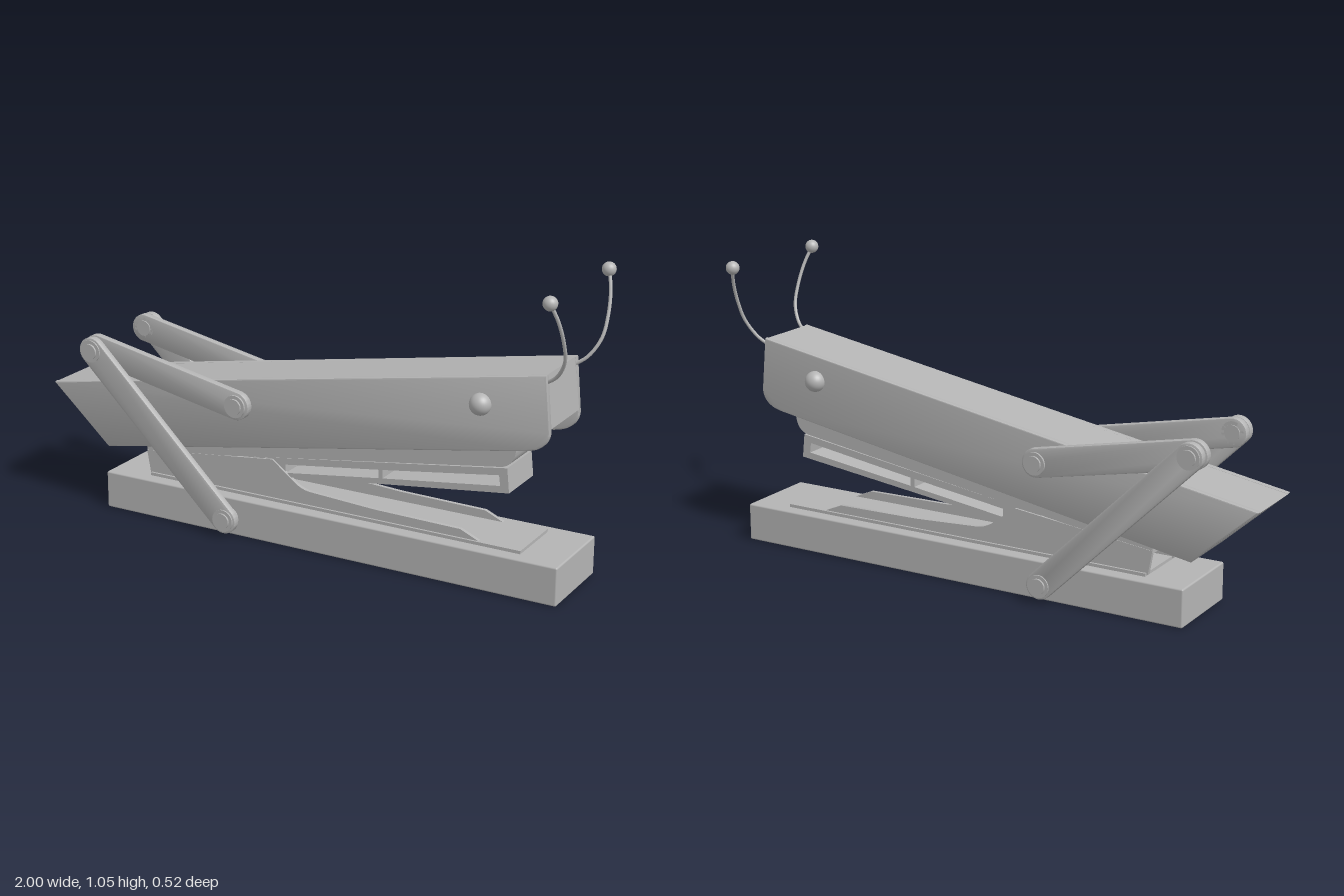
import * as THREE from 'three';
import { toCreasedNormals } from 'three/addons/utils/BufferGeometryUtils.js';
import { RoundedBoxGeometry } from 'three/addons/geometries/RoundedBoxGeometry.js';

export function createModel() {
  const root = new THREE.Group();
  root.name = 'grasshopperStapler';
  const grey = new THREE.MeshStandardMaterial({ color: 0xb4b4b4 });
  grey.name = 'grey';

  const add = (name, geometry, x = 0, y = 0, z = 0) => {
    const mesh = new THREE.Mesh(geometry, grey);
    mesh.name = name;
    mesh.position.set(x, y, z);
    root.add(mesh);
    return mesh;
  };
  const poly = (pts) => new THREE.Shape(pts.map(([x, y]) => new THREE.Vector2(x, y)));
  // Side profile extruded between two depths, with an optional small bevel
  const slab = (name, shape, z0, z1, bevel = 0) => {
    const geo = new THREE.ExtrudeGeometry(shape, {
      depth: z1 - z0 - 2 * bevel, curveSegments: 16, bevelEnabled: bevel > 0,
      bevelSize: bevel, bevelThickness: bevel, bevelOffset: -bevel, bevelSegments: 2,
    });
    return add(name, toCreasedNormals(geo, 0.6), 0, 0, z0 + bevel);
  };
  // Bar with round ends joining two pivots
  const bar = (a, b, r) => {
    const t = Math.atan2(b[1] - a[1], b[0] - a[0]);
    const s = new THREE.Shape();
    s.absarc(a[0], a[1], r, t + Math.PI / 2, t + Math.PI * 1.5, false);
    s.absarc(b[0], b[1], r, t - Math.PI / 2, t + Math.PI / 2, false);
    s.closePath();
    return s;
  };
  const disc = (name, [x, y], r, z0, z1) => {
    const geo = new THREE.CylinderGeometry(r, r, Math.abs(z1 - z0), 32).rotateX(Math.PI / 2);
    add(name, geo, x, y, (z0 + z1) / 2);
  };

  // Base block
  add('base', new RoundedBoxGeometry(1.75, 0.135, 0.314, 2, 0.006), 0.115, 0.0675, 0);

  // Anvil plate and its low side walls
  add('anvilPlate', new THREE.BoxGeometry(1.44, 0.012, 0.22), 0.12, 0.14, 0);
  const wall = new THREE.Shape();
  wall.moveTo(-0.605, 0.14);
  wall.lineTo(0.7, 0.14);
  wall.lineTo(0.62, 0.175);
  wall.lineTo(0.3, 0.18);
  wall.lineTo(0.05, 0.194);
  wall.quadraticCurveTo(0.01, 0.198, -0.02, 0.225);
  wall.lineTo(-0.1, 0.285);
  wall.lineTo(-0.62, 0.225);
  wall.closePath();

  // Top shell: roof, front flap and sloping tail
  slab('bodyRoof', poly([
    [-1, 0.425], [-0.77, 0.22], [-0.73, 0.227], [-0.91, 0.41], [0.885, 0.72],
    [0.9, 0.58], [0.932, 0.58], [0.912, 0.757],
  ]), -0.115, 0.115);
  const side = new THREE.Shape();
  side.moveTo(-1, 0.427);
  side.lineTo(-0.77, 0.22);
  side.lineTo(0.85, 0.496);
  side.quadraticCurveTo(0.93, 0.51, 0.933, 0.57);
  side.lineTo(0.915, 0.758);
  side.closePath();

  // Staple carrier inside the shell, with a curled front lip
  const carrier = new THREE.Shape();
  carrier.moveTo(-0.62, 0.215);
  carrier.lineTo(0.76, 0.418);
  carrier.quadraticCurveTo(0.81, 0.43, 0.81, 0.5);
  carrier.quadraticCurveTo(0.89, 0.52, 0.89, 0.6);
  carrier.lineTo(0.875, 0.7);
  carrier.lineTo(-0.62, 0.44);
  carrier.closePath();
  slab('stapleCarrier', carrier, -0.1, 0.1);

  // Slotted staple tray
  const tray = poly([[-0.2, 0.21], [0.787, 0.33], [0.778, 0.415], [-0.2, 0.275]]);
  tray.holes.push(
    new THREE.Path([[-0.05, 0.243], [0.31, 0.292], [0.31, 0.322], [-0.05, 0.273]]
      .map((p) => new THREE.Vector2(...p))),
    new THREE.Path([[0.325, 0.294], [0.755, 0.35], [0.75, 0.386], [0.325, 0.324]]
      .map((p) => new THREE.Vector2(...p))),
  );
  slab('stapleTray', tray, -0.095, 0.095);

  const knee = [-0.785, 0.592], hip = [-0.21, 0.476], foot = [-0.245, 0.062];
  for (const s of [1, -1]) {
    const label = s > 0 ? 'left' : 'right';
    const both = (name, shape, z0, z1, bevel) =>
      slab(label + name, shape, Math.min(s * z0, s * z1), Math.max(s * z0, s * z1), bevel);
    both('AnvilWall', wall, 0.088, 0.102);
    both('BodySide', side, 0.105, 0.13, 0.006);

    // Jointed hind leg with pivot pins and raised collars
    both('Thigh', bar(knee, hip, 0.05), 0.134, 0.162, 0.003);
    both('Shin', bar(knee, foot, 0.048), 0.168, 0.195, 0.003);
    for (const [joint, p, z0, z1] of [
      ['Knee', knee, 0.13, 0.205], ['Hip', hip, 0.12, 0.174], ['Foot', foot, 0.15, 0.205],
    ]) {
      disc(label + joint + 'Pin', p, 0.028, s * z0, s * (z1 + 0.002));
      disc(label + joint + 'Collar', p, 0.04, s * (z0 + 0.004), s * (z1 - 0.005));
    }

    // Eye
    add(label + 'Eye', new THREE.SphereGeometry(0.037, 32, 20), 0.695, 0.63, s * 0.134);

    // Curved feeler with a ball tip
    const path = new THREE.CatmullRomCurve3(
      [[0.905, 0.727], [0.95, 0.76], [0.984, 0.82], [0.99, 0.89], [0.982, 0.965], [0.964, 1.025]]
        .map(([x, y]) => new THREE.Vector3(x, y, s * (0.11 + 0.42 * (y - 0.727)))));
    add(label + 'Feeler', new THREE.TubeGeometry(path, 32, 0.006, 10));
    add(label + 'FeelerTip', new THREE.SphereGeometry(0.024, 24, 16), 0.964, 1.025, s * 0.234);
  }
  return root;
}
